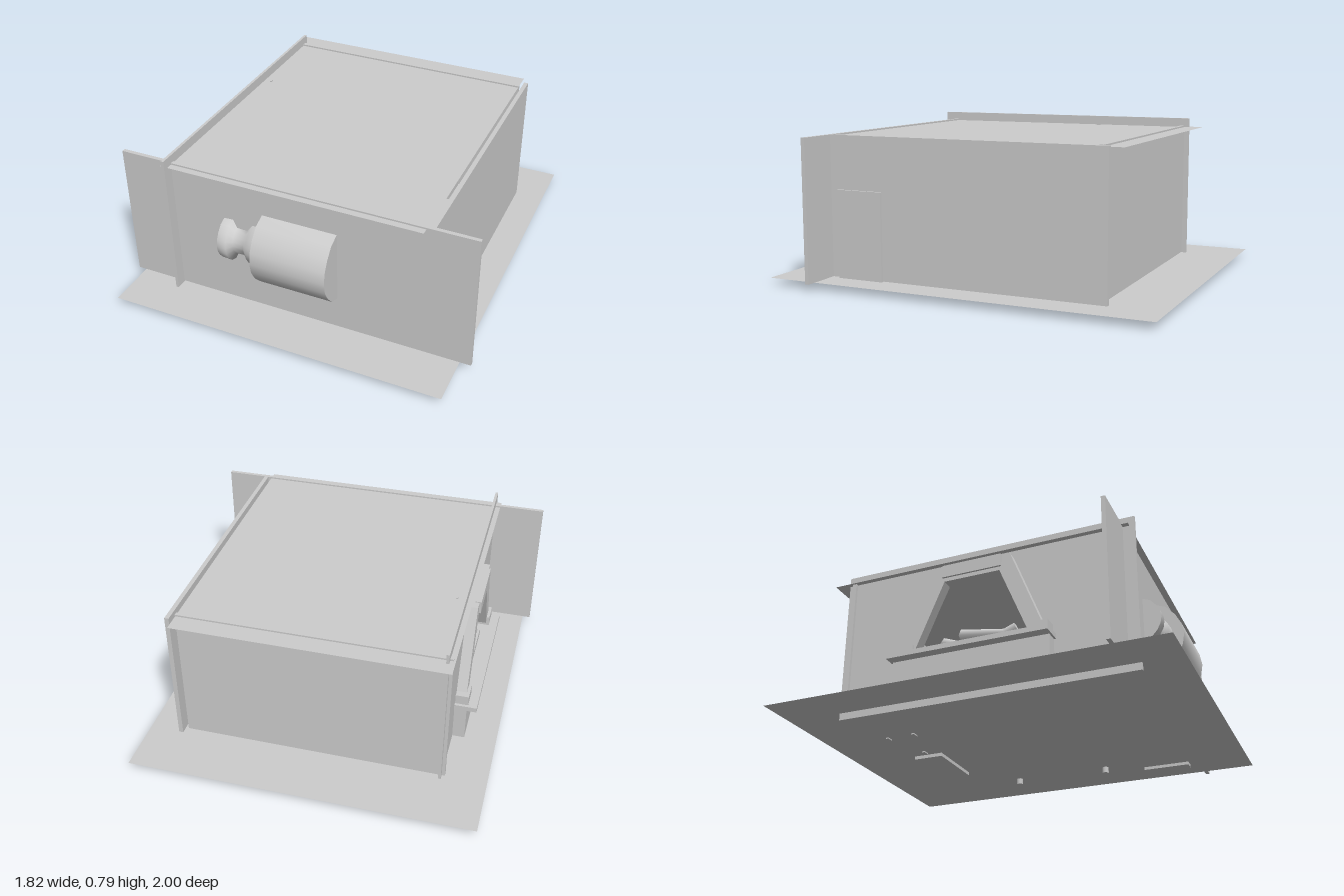
import * as THREE from 'three';

export function createModel() {
  const model = new THREE.Group();
  const grey = new THREE.MeshStandardMaterial({ color: 0xcccccc, side: THREE.DoubleSide });
  grey.name = 'plain grey';

  const add = (name, geometry) => {
    const mesh = new THREE.Mesh(geometry, grey);
    mesh.name = name;
    model.add(mesh);
    return mesh;
  };
  // box given by its minimum and maximum on each axis
  const box = (name, x0, x1, y0, y1, z0, z1) => {
    const mesh = add(name, new THREE.BoxGeometry(x1 - x0, y1 - y0, z1 - z0));
    mesh.position.set((x0 + x1) / 2, (y0 + y1) / 2, (z0 + z1) / 2);
    return mesh;
  };
  const sheet = (name, x0, x1, y, z0, z1) => {
    const mesh = add(name, new THREE.PlaneGeometry(x1 - x0, z1 - z0).rotateX(-Math.PI / 2));
    mesh.position.set((x0 + x1) / 2, y, (z0 + z1) / 2);
  };
  // outline in (z, y), extruded towards -x from x
  const sidePanel = (name, outline, x, depth, hole) => {
    const toPoints = (list) => list.map(([z, y]) => new THREE.Vector2(z, y));
    const shape = new THREE.Shape(toPoints(outline));
    if (hole) shape.holes.push(new THREE.Path(toPoints(hole)));
    const geometry = new THREE.ExtrudeGeometry(shape, { depth, bevelEnabled: false });
    add(name, geometry.rotateY(-Math.PI / 2)).position.x = x;
  };

  // Ground, ceiling and walls
  sheet('ground', -0.87, 0.85, 0.036, -1, 1);
  sheet('ceiling', -0.675, 0.658, 0.742, -0.785, 0.78);
  box('frontWall', -0.91, 0.905, 0.038, 0.75, 0.727, 0.747);
  box('backWall', -0.665, 0.66, 0.038, 0.75, -0.69, -0.67);
  box('leftWall', 0.675, 0.697, 0.038, 0.75, -0.727, 0.73);
  box('door', 0.655, 0.71, 0.02, 0.48, 0.437, 0.685);
  sidePanel('rightWall',
    [[-0.715, 0], [0.805, 0], [0.805, 0.79], [-0.715, 0.79]], -0.635, 0.014,
    [[-0.31, 0.26], [0.31, 0.26], [0.15, 0.62], [-0.15, 0.62]]);
  box('ceilingHook', -0.602, -0.592, 0.72, 0.747, -0.21, -0.19);

  // Fireplace on the right wall
  box('fireplaceBase', -0.71, -0.645, 0.04, 0.225, -0.4, 0.4);
  box('fireplaceShelf', -0.76, -0.5, 0.225, 0.25, -0.41, 0.41);
  sidePanel('fireplaceFrame', [
    [-0.38, 0.25], [-0.2, 0.7], [0.2, 0.7], [0.38, 0.25],
    [0.3, 0.25], [0.145, 0.62], [-0.145, 0.62], [-0.3, 0.25],
  ], -0.645, 0.055);
  for (const s of [-1, 1]) {
    box('frameFoot', -0.715, -0.65, 0.25, 0.3, s * 0.345 - 0.05, s * 0.345 + 0.05);
  }
  box('frameCap', -0.71, -0.68, 0.64, 0.705, -0.155, 0.155);
  // Grate with split logs
  box('grateFloor', -0.68, -0.54, 0.255, 0.265, -0.2, 0.2);
  for (const x of [-0.68, -0.55]) box('grateRail', x, x + 0.012, 0.255, 0.29, -0.2, 0.2);
  for (const z of [-0.2, 0.188]) box('grateEnd', -0.68, -0.54, 0.255, 0.29, z, z + 0.012);
  [[-0.08, 0.3, 0.35], [0.08, 0.31, -0.4], [0.02, 0.35, 0.15]].forEach(([z, y, tilt]) => {
    const log = add('log', new THREE.CylinderGeometry(0.025, 0.03, 0.24, 5).rotateX(Math.PI / 2));
    log.position.set(-0.59, y, z);
    log.rotation.x = tilt;
  });

  // Half-round jug on the front wall, lofted along x
  const section = [[1, 0], [0.87, 0.42], [0.6, 0.73], [0.31, 0.93], [0, 1],
    [-0.31, 0.93], [-0.6, 0.73], [-0.87, 0.42], [-1, 0]];
  const loft = (name, profile) => {
    const positions = [], index = [], n = section.length;
    profile.forEach(([x, r], i) => section.forEach(([y, z], j) => {
      positions.push(x, 0.398 + y * r, 0.747 + z * r * 0.775);
      if (i && j) {
        const a = (i - 1) * n + j - 1, b = i * n + j - 1;
        index.push(a, b, b + 1, a, b + 1, a + 1);
      }
    }));
    const geometry = new THREE.BufferGeometry();
    geometry.setAttribute('position', new THREE.Float32BufferAttribute(positions, 3));
    geometry.setIndex(index.reverse());
    geometry.computeVertexNormals();
    // keep normals pointing away from the wall
    const nz = geometry.attributes.normal.getZ(4);
    if (nz < 0) {
      geometry.setIndex(index.reverse());
      geometry.computeVertexNormals();
    }
    add(name, geometry);
  };
  loft('jugBody', [[-0.155, 0.186], [0.23, 0.186]]);
  loft('jugNeck', [[-0.363, 0.112], [-0.315, 0.115], [-0.295, 0.072],
    [-0.24, 0.07], [-0.212, 0.108], [-0.155, 0.115]]);
  // Flat ends of the jug
  for (const [x, r, turn] of [[0.23, 0.186, 1], [-0.155, 0.186, -1], [-0.363, 0.112, -1]]) {
    const shape = new THREE.Shape(section.map(([y, z]) => new THREE.Vector2(-turn * z * r * 0.775, y * r)));
    const end = add('jugEnd', new THREE.ShapeGeometry(shape).rotateY(turn * Math.PI / 2));
    end.position.set(x, 0.398, 0.747);
  }

  // Furniture whose feet pass through the ground
  box('cabinet', 0.02, 0.36, 0.018, 0.3, -0.66, -0.5);
  for (const z of [-0.28, 0.235]) {
    const leg = add('benchLeg', new THREE.CylinderGeometry(0.018, 0.018, 0.165, 12));
    leg.position.set(0.58, 0.0865, z);
  }
  box('benchSeat', 0.51, 0.65, 0.169, 0.19, -0.36, 0.32);
  for (const [x, z] of [[-0.27, -0.51], [-0.264, -0.66], [-0.018, -0.58]]) {
    box('stoolFoot', x - 0.018, x + 0.018, 0.03, 0.05, z - 0.008, z + 0.008);
  }
  return model;
}
